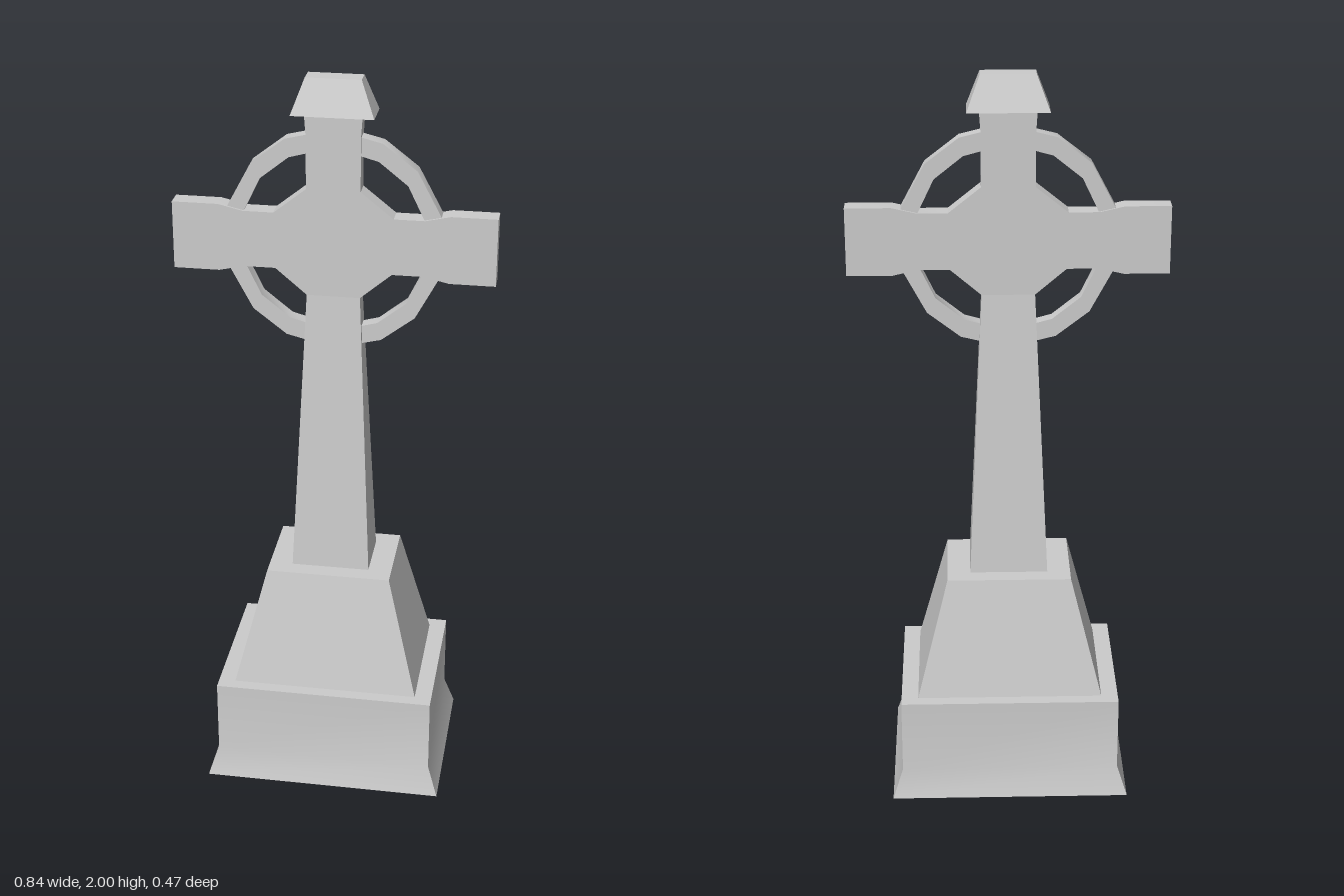
import * as THREE from 'three';
import { toCreasedNormals } from 'three/addons/utils/BufferGeometryUtils.js';

const stone = new THREE.MeshStandardMaterial({ color: 0xcccccc, side: THREE.DoubleSide });

// Skin through rectangular sections [half width, y, half depth], listed along the surface.
function sections(name, list) {
  const corners = [[1, 1], [1, -1], [-1, -1], [-1, 1]];
  const pos = [];
  const at = (s, c) => [s[0] * c[0], s[1], s[2] * c[1]];
  for (let i = 0; i < list.length - 1; i++) {
    for (let k = 0; k < 4; k++) {
      const a = corners[k], b = corners[(k + 1) % 4];
      const a0 = at(list[i], a), b0 = at(list[i], b);
      const a1 = at(list[i + 1], a), b1 = at(list[i + 1], b);
      pos.push(...a0, ...b0, ...b1, ...a0, ...b1, ...a1);
    }
  }
  const g = new THREE.BufferGeometry();
  g.setAttribute('position', new THREE.Float32BufferAttribute(pos, 3));
  return mesh(name, g);
}

function mesh(name, g) {
  const m = new THREE.Mesh(toCreasedNormals(g, 0.6), stone);
  m.name = name;
  return m;
}

// Flat outline extruded evenly to both sides of z = 0.
function slab(name, points, depth) {
  const shape = new THREE.Shape(points.map(([x, y]) => new THREE.Vector2(x, y)));
  const g = new THREE.ExtrudeGeometry(shape, { depth, bevelEnabled: false });
  g.translate(0, 0, -depth / 2);
  return mesh(name, g);
}

export function createModel() {
  const group = new THREE.Group();

  // Hollow plinth with a flared foot and a flat ledge
  group.add(sections('plinth', [
    [0.328, 0, 0.237], [0.3, 0.085, 0.217], [0.3, 0.295, 0.217], [0.254, 0.295, 0.184],
  ]));

  // Tapered pedestal with a flat top around the shaft
  group.add(sections('pedestal', [
    [0.254, 0.295, 0.184], [0.169, 0.63, 0.123], [0.106, 0.63, 0.077],
  ]));

  // Tapered shaft
  group.add(sections('shaft', [[0.106, 0.63, 0.077], [0.07, 1.42, 0.025]]));

  // Cross head: right half outline, mirrored
  const half = [
    [0.07, 1.42], [0.152, 1.49], [0.235, 1.49], [0.3, 1.475], [0.42, 1.475],
    [0.42, 1.657], [0.3, 1.657], [0.235, 1.642], [0.155, 1.642], [0.07, 1.71],
    [0.07, 1.85], [0.074, 1.91],
  ];
  const mirrored = half.map(([x, y]) => [-x, y]).reverse();
  group.add(slab('crossHead', [...half, ...mirrored], 0.05));

  // Four ring segments between the arms
  const arc = [
    [0.06, 0.284], [0.125, 0.268], [0.213, 0.2], [0.285, 0.065],
    [0.238, 0.06], [0.19, 0.16], [0.115, 0.22], [0.06, 0.235],
  ];
  for (const sx of [-1, 1]) {
    for (const sy of [-1, 1]) {
      group.add(slab('ringSegment', arc.map(([x, y]) => [sx * x, 1.57 + sy * y]), 0.038));
    }
  }

  // Sloped cap stone, closed above and below
  group.add(sections('cap', [
    [0, 1.907, 0], [0.106, 1.907, 0.047], [0.071, 2, 0.024], [0, 2, 0],
  ]));

  return group;
}
